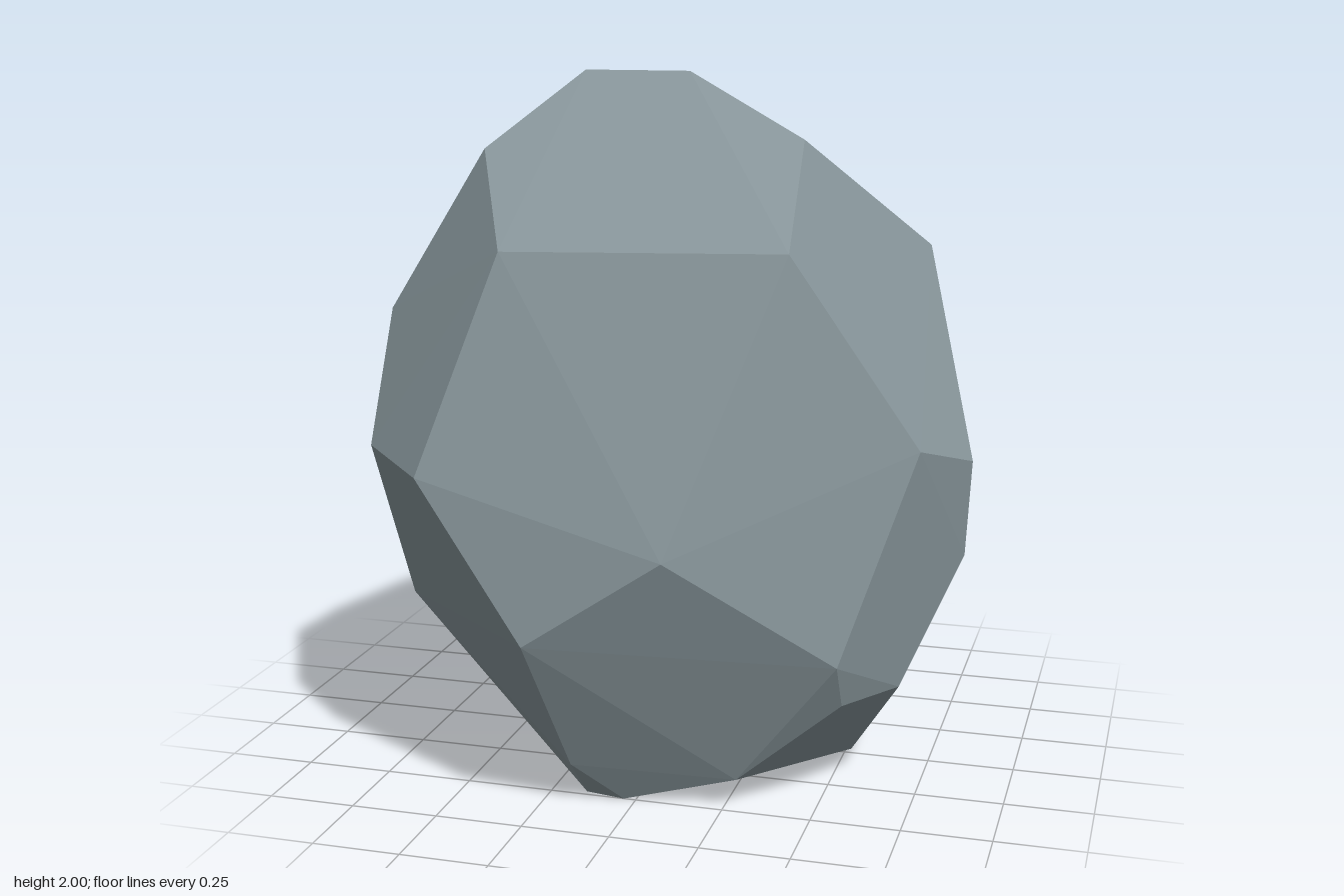
import * as THREE from 'three';
import { ConvexGeometry } from 'three/addons/geometries/ConvexGeometry.js';

// Corners of the faceted boulder, grouped by height band
const crown = [
  [-0.29, 2, 0], [0.02, 2, 0], [0.08, 1.84, -0.33], [-0.29, 1.84, -0.33],
];
const shoulder = [
  [0.395, 1.83, 0.195], [0.43, 1.565, 0.535], [-0.36, 1.545, 0.55], [-0.51, 1.79, 0.245],
  [-0.805, 1.325, 0.245], [0.69, 1.505, -0.195], [0.57, 1.485, -0.45], [-0.575, 1.16, -0.58],
];
const waist = [
  [0.76, 1.03, 0.385], [0.87, 0.955, 0.145], [0.85, 0.67, 0.1], [0.155, 0.785, 0.775],
  [-0.225, 0.53, 0.795], [-0.55, 0.95, 0.715], [-0.775, 0.975, 0.49], [-0.845, 0.99, -0.4],
  [-0.835, 0.87, -0.4], [-0.515, 0.75, -0.725], [-0.42, 0.66, -0.765],
  [0.21, 0.54, -0.795], [0.44, 0.68, -0.715],
];
const skirt = [
  [0.7, 0.325, 0.27], [0.575, 0.325, 0.46], [0.575, 0.46, 0.54], [-0.875, 0.38, -0.01],
  [-0.16, 0.125, 0.59], [0.285, 0.085, 0.48], [-0.27, 0.26, -0.795],
  [0.27, 0.29, -0.765], [0.44, 0.27, -0.65], [0.46, 0.12, -0.54],
];
const foot = [
  [0.515, 0, -0.03], [0.5, 0, -0.31], [-0.24, 0, -0.535],
  [-0.485, 0, -0.2], [-0.15, 0, 0.48], [-0.035, 0, 0.5],
];

export function createModel() {
  const group = new THREE.Group();
  group.name = 'boulder';

  // One convex stone with flat facets
  const corners = [crown, shoulder, waist, skirt, foot].flat().map((p) => new THREE.Vector3(...p));
  const stone = new THREE.Mesh(
    new ConvexGeometry(corners),
    new THREE.MeshStandardMaterial({ color: 0x87959a, flatShading: true }),
  );
  stone.name = 'stone';
  group.add(stone);
  return group;
}
